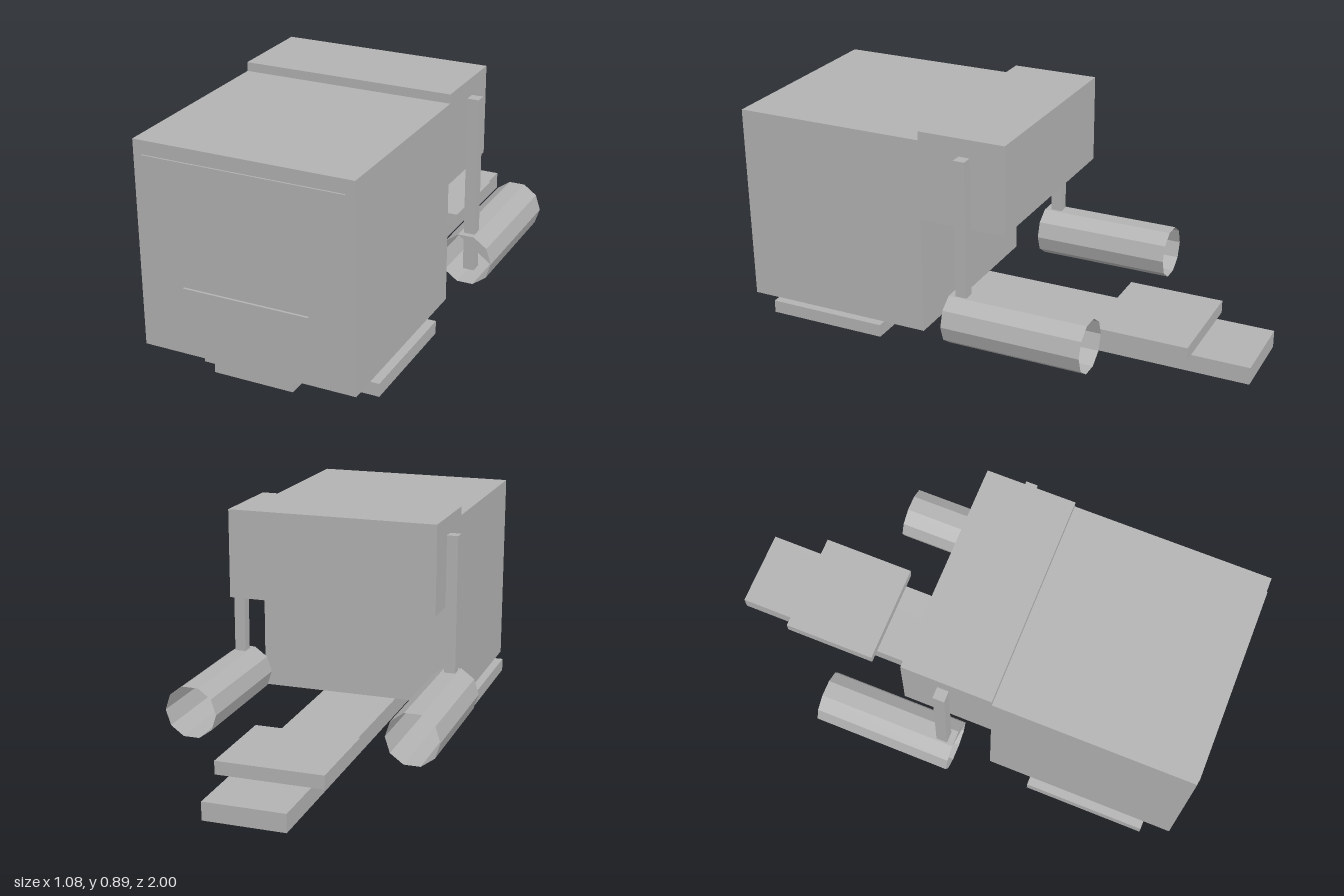
import * as THREE from 'three';

export function createModel() {
  const model = new THREE.Group();
  const grey = new THREE.MeshStandardMaterial({ color: 0xb2b2b2, flatShading: true, side: THREE.DoubleSide });
  grey.name = 'grey';

  // box given by its minimum and maximum on each axis
  function box(name, [x0, x1], [y0, y1], [z0, z1]) {
    const mesh = new THREE.Mesh(new THREE.BoxGeometry(x1 - x0, y1 - y0, z1 - z0), grey);
    mesh.position.set((x0 + x1) / 2, (y0 + y1) / 2, (z0 + z1) / 2);
    mesh.name = name;
    model.add(mesh);
  }

  // cab and sleeper
  box('cab', [-0.416, 0.416], [0.07, 0.855], [0.22, 0.988]);
  box('sleeper', [-0.416, 0.416], [0.54, 0.89], [-0.13, 0.22]);
  box('windscreen', [-0.382, 0.382], [0.435, 0.803], [0.988, 0.994]);
  box('grille', [-0.243, 0.243], [0.107, 0.333], [0.988, 0.997]);
  box('frontLip', [-0.175, 0.175], [0.056, 0.07], [0.953, 0.985]);

  // frame, steps and trailer coupling
  box('chassis', [-0.156, 0.156], [0, 0.07], [-1, 0.953]);
  box('steps', [-0.45, 0.45], [0.02, 0.071], [0.395, 0.88]);
  box('couplingPlate', [-0.208, 0.208], [0.073, 0.125], [-0.772, -0.39]);

  // ten-sided open tanks with a partial front cap
  const radius = 0.104, front = 0.08, back = -0.477;
  const tankGeo = new THREE.CylinderGeometry(radius, radius, front - back, 10, 1, true);
  tankGeo.rotateY(Math.PI / 2).rotateX(Math.PI / 2);
  const capShape = new THREE.Shape([0, 1, 2, 3].map((i) => {
    const a = (i * Math.PI) / 5;
    return new THREE.Vector2(radius * Math.cos(a), radius * Math.sin(a));
  }));
  const capGeo = new THREE.ShapeGeometry(capShape);

  for (const side of [1, -1]) {
    const label = side > 0 ? 'left' : 'right';
    const tank = new THREE.Group();
    tank.name = label + 'Tank';
    const shell = new THREE.Mesh(tankGeo, grey);
    shell.name = 'tankShell';
    const cap = new THREE.Mesh(capGeo, grey);
    cap.name = 'tankCap';
    cap.position.z = (front - back) / 2;
    tank.add(shell, cap);
    tank.position.set(side * 0.435, 0.178, (front + back) / 2);
    model.add(tank);

    // upright exhaust stack beside the sleeper
    const xs = [side * 0.416, side * 0.46].sort((a, b) => a - b);
    box(label + 'Exhaust', xs, [0.125, 0.82], [0.01, 0.055]);
  }
  return model;
}
